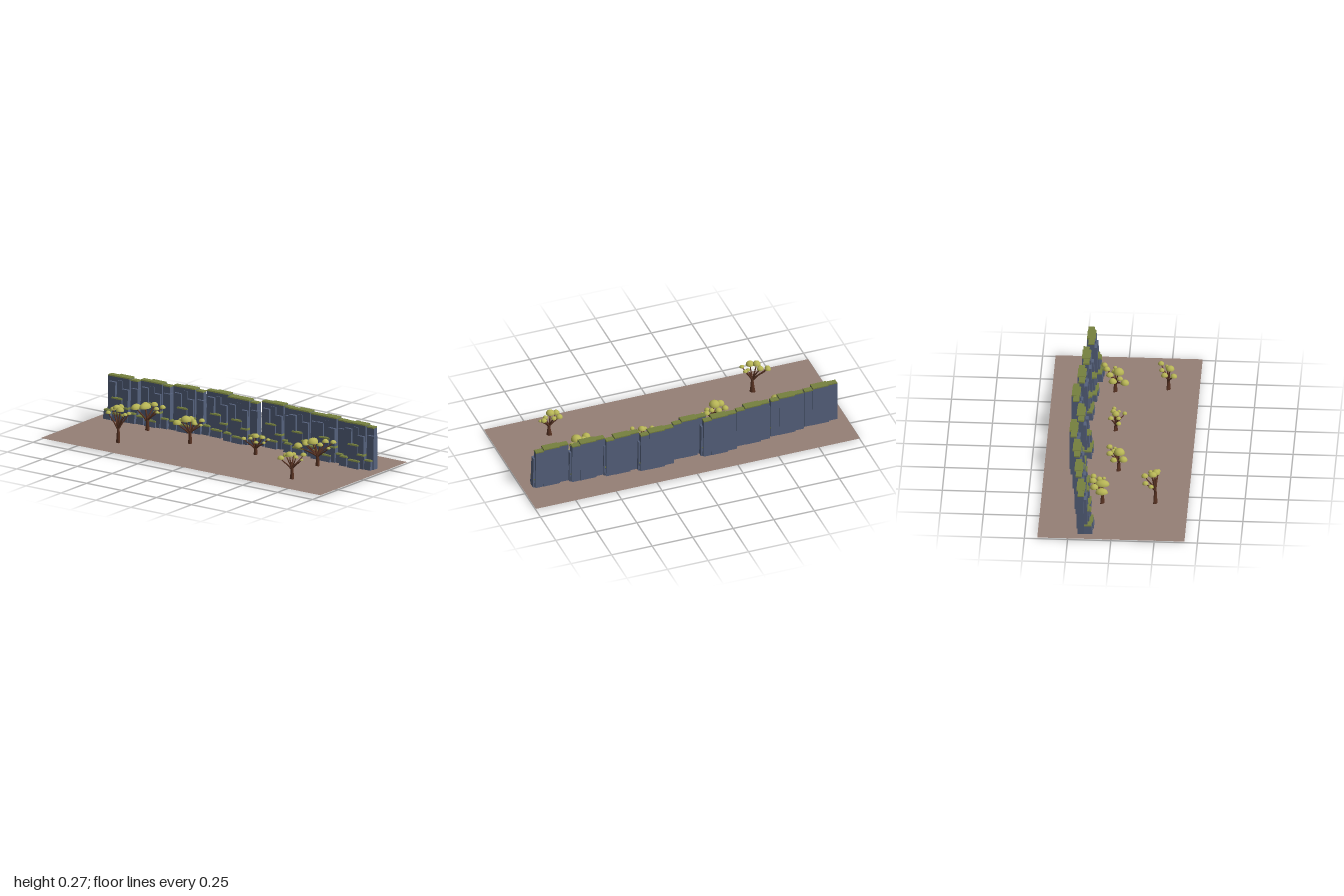
import * as THREE from 'three';
import { mergeGeometries } from 'three/addons/utils/BufferGeometryUtils.js';

const material = (color, extra = {}) => new THREE.MeshStandardMaterial({ color, ...extra });
const STONE = material(0x55617c, { flatShading: true });
const MOSS = material(0x76803f, { flatShading: true });
const BARK = material(0x5c3524);
const LEAF = material(0xb6b455);
const SOIL = material(0x957f76, { side: THREE.DoubleSide });
const GROUND_Y = 0.008;

function add(parent, name, geometry, mat) {
  const mesh = new THREE.Mesh(geometry, mat);
  mesh.name = name;
  parent.add(mesh);
}

// Box between corners; the front and sides lean inwards towards the top
function block(x0, x1, y0, y1, z0, z1, lean = 0) {
  const g = new THREE.BoxGeometry(x1 - x0, y1 - y0, z1 - z0);
  g.translate((x0 + x1) / 2, (y0 + y1) / 2, (z0 + z1) / 2);
  const p = g.attributes.position;
  const mid = (x0 + x1) / 2;
  for (let i = 0; i < p.count; i++) {
    if (p.getY(i) < y1 - 1e-5) continue;
    p.setX(i, p.getX(i) - Math.sign(p.getX(i) - mid) * lean * 0.5);
    if (p.getZ(i) > z1 - 1e-5) p.setZ(i, z1 - lean);
  }
  return g;
}

// Rock columns of one cliff section: x0, x1, back z, front z, height, mossy top
const COLUMNS = [
  [-0.108, -0.03, 0.01, 0.046, 0.258, true],
  [-0.05, 0.05, 0, 0.05, 0.260, true],
  [0.04, 0.1, 0.002, 0.038, 0.250, true],
  [-0.095, -0.04, 0.03, 0.066, 0.225, false],
  [-0.04, 0.002, 0.03, 0.058, 0.24, false],
  [0.0, 0.05, 0.03, 0.07, 0.2, false],
  [0.058, 0.112, 0.014, 0.056, 0.208, false],
  [-0.108, -0.055, 0.02, 0.094, 0.055, true],
  [-0.065, 0.012, 0.02, 0.078, 0.135, true],
  [0.008, 0.062, 0.02, 0.086, 0.09, true],
  [0.055, 0.106, 0.01, 0.08, 0.06, true],
  [-0.045, 0.035, 0.02, 0.1, 0.045, true],
];

function cliffSection(index, x, z) {
  const group = new THREE.Group();
  group.name = 'cliffSection' + index;
  const rocks = [], caps = [];
  COLUMNS.forEach(([x0, x1, z0, z1, h, mossy], i) => {
    const shift = 0.004 * Math.sin(index * 2.3 + i * 1.7);
    const top = h > 0.24 ? h : h + shift;
    const lean = h > 0.24 ? 0.003 : 0.007;
    rocks.push(block(x0, x1, 0.002 * (i % 3), top, z0, z1 + shift * 0.5, lean));
    if (mossy) caps.push(block(x0 + 0.001, x1 - 0.001, top - 0.001, top + 0.006, z0, z1 - lean + 0.003, 0.003));
  });
  add(group, 'rockColumns', mergeGeometries(rocks), STONE);
  add(group, 'mossLedges', mergeGeometries(caps), MOSS);
  group.position.set(x, 0, z);
  return group;
}

// Tube along a curve through the points, narrowing from r0 to r1
function taperedTube(points, r0, r1) {
  const curve = new THREE.CatmullRomCurve3(points);
  const steps = 8, sides = 7;
  const g = new THREE.TubeGeometry(curve, steps, 1, sides);
  const p = g.attributes.position, v = new THREE.Vector3();
  for (let i = 0; i < p.count; i++) {
    const t = Math.floor(i / (sides + 1)) / steps;
    const c = curve.getPointAt(t);
    v.fromBufferAttribute(p, i).sub(c).multiplyScalar(r0 + (r1 - r0) * t).add(c);
    p.setXYZ(i, v.x, v.y, v.z);
  }
  return g;
}

// Closed half-ellipsoid clump of leaves, flat underneath
function leafDome(r) {
  const profile = [new THREE.Vector2(0, 0), new THREE.Vector2(r * 0.97, 0)];
  for (let i = 0; i <= 7; i++) {
    const a = (i / 7) * Math.PI / 2;
    profile.push(new THREE.Vector2(i === 7 ? 0 : r * Math.cos(a), r * 0.95 * Math.sin(a)));
  }
  return new THREE.LatheGeometry(profile, 16);
}

// Tree: base x and z, fork height, leaf domes as [x, base y, z, radius, z stretch]
function tree(name, bx, bz, fork, domes) {
  const group = new THREE.Group();
  group.name = name;
  const wood = [], leaves = [];
  const V = (x, y, z) => new THREE.Vector3(x, y, z);
  wood.push(taperedTube([V(bx, GROUND_Y - 0.003, bz), V(bx + 0.002, fork * 0.5, bz), V(bx, fork + 0.008, bz)], 0.013, 0.007));
  for (const side of [-1, 1]) {
    wood.push(taperedTube([V(bx + side * 0.009, GROUND_Y - 0.002, bz + side * 0.006),
      V(bx + side * 0.004, fork * 0.5, bz + side * 0.003), V(bx, fork, bz)], 0.007, 0.005));
  }
  domes.forEach(([x, y, z, r, stretch = 1], i) => {
    const start = fork * (0.8 + 0.06 * (i % 4));
    const dx = x - bx, dz = z - bz;
    wood.push(taperedTube([V(bx, start, bz),
      V(bx + dx * 0.35, start + (y - start) * 0.4, bz + dz * 0.35),
      V(bx + dx * 0.8, start + (y - start) * 0.8, bz + dz * 0.8),
      V(x, y + 0.003, z)], 0.006, 0.0022));
    leaves.push(leafDome(r).scale(1, 1, stretch).translate(x, y, z));
  });
  add(group, 'trunkAndBranches', mergeGeometries(wood), BARK);
  add(group, 'leafDomes', mergeGeometries(leaves), LEAF);
  return group;
}

export function createModel() {
  const model = new THREE.Group();
  model.name = 'cliffLandscape';

  // Ground sheet
  add(model, 'ground', new THREE.PlaneGeometry(2, 0.85).rotateX(-Math.PI / 2).translate(0, GROUND_Y, 0), SOIL);

  // Cliff wall: centre x and back z of every section
  const cliff = new THREE.Group();
  cliff.name = 'cliffWall';
  [[-0.84, -0.205], [-0.625, -0.228], [-0.405, -0.25], [-0.19, -0.28], [-0.015, -0.247],
    [0.2, -0.287], [0.405, -0.265], [0.61, -0.25], [0.828, -0.232]]
    .forEach(([x, z], i) => cliff.add(cliffSection(i + 1, x, z)));
  model.add(cliff);

  // Trees
  model.add(
    tree('treeBackLeft', -0.6, -0.07, 0.075, [
      [-0.68, 0.125, -0.07, 0.028, 1.3], [-0.615, 0.14, -0.07, 0.03, 1.4], [-0.645, 0.135, -0.115, 0.024],
      [-0.59, 0.145, -0.125, 0.022], [-0.55, 0.135, -0.09, 0.017], [-0.53, 0.14, -0.125, 0.018],
      [-0.525, 0.125, -0.065, 0.012]]),
    tree('treeMiddleLeft', -0.24, 0.005, 0.075, [
      [-0.265, 0.14, 0.01, 0.032], [-0.31, 0.12, 0.035, 0.025], [-0.32, 0.122, -0.02, 0.02],
      [-0.27, 0.135, -0.045, 0.02], [-0.235, 0.13, -0.025, 0.017], [-0.215, 0.125, -0.005, 0.017],
      [-0.195, 0.135, -0.05, 0.018], [-0.18, 0.118, -0.02, 0.011]]),
    tree('treeMiddleRight', 0.2, -0.035, 0.05, [
      [0.13, 0.092, -0.015, 0.015], [0.165, 0.105, -0.062, 0.016], [0.175, 0.1, -0.018, 0.014],
      [0.2, 0.113, -0.035, 0.022], [0.238, 0.108, -0.05, 0.017], [0.28, 0.104, -0.048, 0.012],
      [0.27, 0.09, -0.02, 0.011], [0.24, 0.095, 0.015, 0.014]]),
    tree('treeBackRight', 0.625, -0.06, 0.075, [
      [0.605, 0.145, -0.04, 0.032], [0.53, 0.12, 0, 0.025], [0.535, 0.125, -0.07, 0.024],
      [0.58, 0.14, -0.09, 0.021], [0.56, 0.13, -0.03, 0.018], [0.64, 0.13, -0.065, 0.018],
      [0.645, 0.14, -0.11, 0.02], [0.69, 0.14, -0.125, 0.018], [0.7, 0.12, -0.065, 0.012]]),
    tree('treeFrontRight', 0.665, 0.245, 0.075, [
      [0.655, 0.147, 0.255, 0.025], [0.61, 0.125, 0.278, 0.02], [0.61, 0.13, 0.225, 0.02],
      [0.65, 0.14, 0.208, 0.016], [0.69, 0.135, 0.24, 0.015], [0.715, 0.145, 0.2, 0.018],
      [0.725, 0.125, 0.232, 0.01]]),
    tree('treeFrontLeft', -0.585, 0.235, 0.1, [
      [-0.605, 0.205, 0.22, 0.023, 1.1], [-0.67, 0.165, 0.215, 0.016], [-0.66, 0.18, 0.182, 0.018],
      [-0.61, 0.2, 0.175, 0.02], [-0.57, 0.2, 0.238, 0.024], [-0.53, 0.18, 0.205, 0.014],
      [-0.525, 0.185, 0.25, 0.014], [-0.555, 0.17, 0.228, 0.012]]),
  );
  return model;
}
